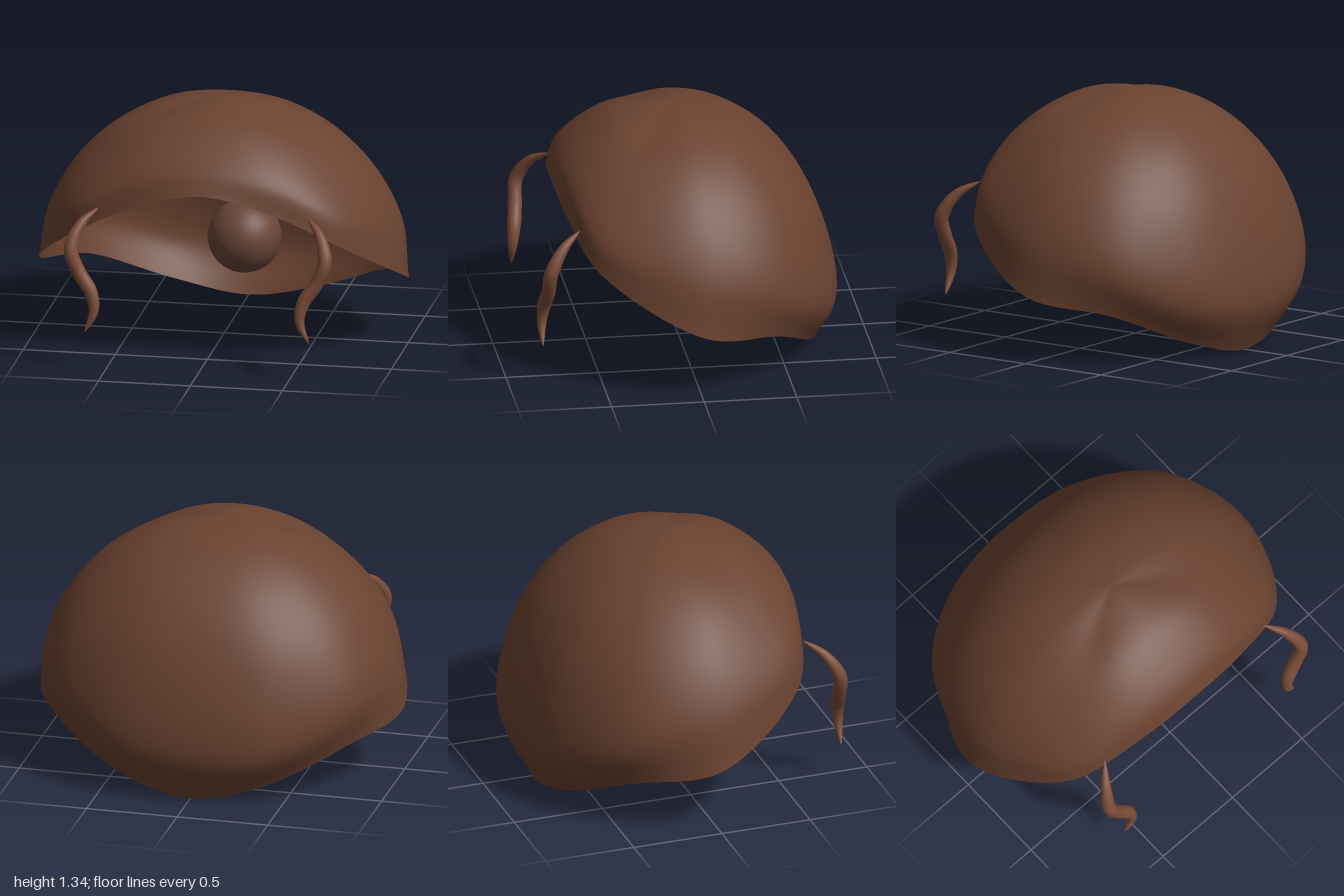
import * as THREE from 'three';

const APEX = new THREE.Vector3(0, 1.34, 0.03);

// Guide lines from just below the crown down to the rim, front to back on the +x half
const GUIDES = [
  [[0, 1.335, 0.18], [0, 1.29, 0.36], [0, 1.2, 0.51], [0, 1.08, 0.64], [0, 0.965, 0.7]],
  [[0.12, 1.32, 0.18], [0.24, 1.26, 0.35], [0.33, 1.14, 0.51], [0.39, 1.0, 0.62], [0.4, 0.86, 0.655]],
  [[0.24, 1.29, 0.15], [0.46, 1.18, 0.29], [0.63, 1.0, 0.41], [0.74, 0.81, 0.49], [0.75, 0.66, 0.52]],
  [[0.3, 1.295, 0.02], [0.58, 1.16, 0.01], [0.8, 0.95, 0], [0.95, 0.67, 0], [1, 0.365, 0]],
  [[0.28, 1.28, -0.15], [0.53, 1.11, -0.29], [0.73, 0.83, -0.41], [0.84, 0.5, -0.46], [0.8, 0.275, -0.42]],
  [[0.15, 1.27, -0.25], [0.3, 1.08, -0.49], [0.42, 0.76, -0.67], [0.45, 0.3, -0.76], [0.4, 0.09, -0.66]],
  [[0, 1.27, -0.27], [0, 1.06, -0.55], [0, 0.72, -0.75], [0, 0.27, -0.84], [0, 0, -0.72]],
];

// Thin open cap skinned over the mirrored guide lines
function capGeometry(around = 96, down = 40) {
  const mirrored = GUIDES.slice(1, -1).reverse().map(g => g.map(([x, y, z]) => [-x, y, z]));
  const guides = [...GUIDES, ...mirrored];
  const rings = GUIDES[0].map((_, level) =>
    new THREE.CatmullRomCurve3(guides.map(g => new THREE.Vector3(...g[level])), true));

  const positions = [...APEX.toArray()];
  const index = [];
  for (let j = 0; j < around; j++) {
    const u = j / around;
    const near = rings.map(r => r.getPoint(u));
    const far = rings.map(r => r.getPoint((u + 0.5) % 1)).reverse();
    // Running over the crown to the opposite rim keeps the top smooth
    const meridian = new THREE.CatmullRomCurve3([...far, APEX, ...near]);
    for (let i = 1; i <= down; i++) positions.push(...meridian.getPoint(0.5 + 0.5 * i / down).toArray());

    const a = 1 + j * down;
    const b = 1 + ((j + 1) % around) * down;
    index.push(0, a, b);
    for (let i = 0; i < down - 1; i++) {
      index.push(a + i, a + i + 1, b + i, b + i, a + i + 1, b + i + 1);
    }
  }
  const geometry = new THREE.BufferGeometry();
  geometry.setAttribute('position', new THREE.Float32BufferAttribute(positions, 3));
  geometry.setIndex(index);
  geometry.computeVertexNormals();
  return geometry;
}

// Wavy lock with pointed ends; side is 1 or -1
function lockGeometry(side, segments = 48, sides = 14) {
  const path = new THREE.CatmullRomCurve3([
    [0.57, 0.85, 0.61], [0.65, 0.78, 0.71], [0.69, 0.66, 0.78], [0.645, 0.54, 0.79],
    [0.575, 0.43, 0.805], [0.56, 0.33, 0.815], [0.61, 0.21, 0.815],
  ].map(([x, y, z]) => new THREE.Vector3(side * x, y, z)));
  const geometry = new THREE.TubeGeometry(path, segments, 0.038, sides);
  const pos = geometry.attributes.position;
  const v = new THREE.Vector3();
  for (let i = 0; i <= segments; i++) {
    const t = i / segments;
    const centre = path.getPointAt(t);
    const width = Math.min(1, Math.pow(Math.sin(Math.PI * Math.min(t, 0.9999)), 0.7) * 1.1);
    for (let k = 0; k <= sides; k++) {
      const n = i * (sides + 1) + k;
      v.fromBufferAttribute(pos, n).sub(centre).multiplyScalar(width).add(centre);
      pos.setXYZ(n, v.x, v.y, v.z);
    }
  }
  return geometry;
}

export function createModel() {
  const group = new THREE.Group();
  group.name = 'hair';
  const add = (name, geometry, material) => {
    const mesh = new THREE.Mesh(geometry, material);
    mesh.name = name;
    group.add(mesh);
    return mesh;
  };
  const capMaterial = new THREE.MeshStandardMaterial({ color: 0x6a4230, side: THREE.DoubleSide });
  const lockMaterial = new THREE.MeshStandardMaterial({ color: 0x7a4c38 });
  const bunMaterial = new THREE.MeshStandardMaterial({ color: 0x6a4638 });

  add('hairCap', capGeometry(), capMaterial);

  // Round bun tucked inside the back of the cap
  add('bun', new THREE.SphereGeometry(0.198, 32, 24), bunMaterial).position.set(0, 0.365, -0.6);

  // Side locks hanging in front
  add('leftLock', lockGeometry(1), lockMaterial);
  add('rightLock', lockGeometry(-1), lockMaterial);
  return group;
}
